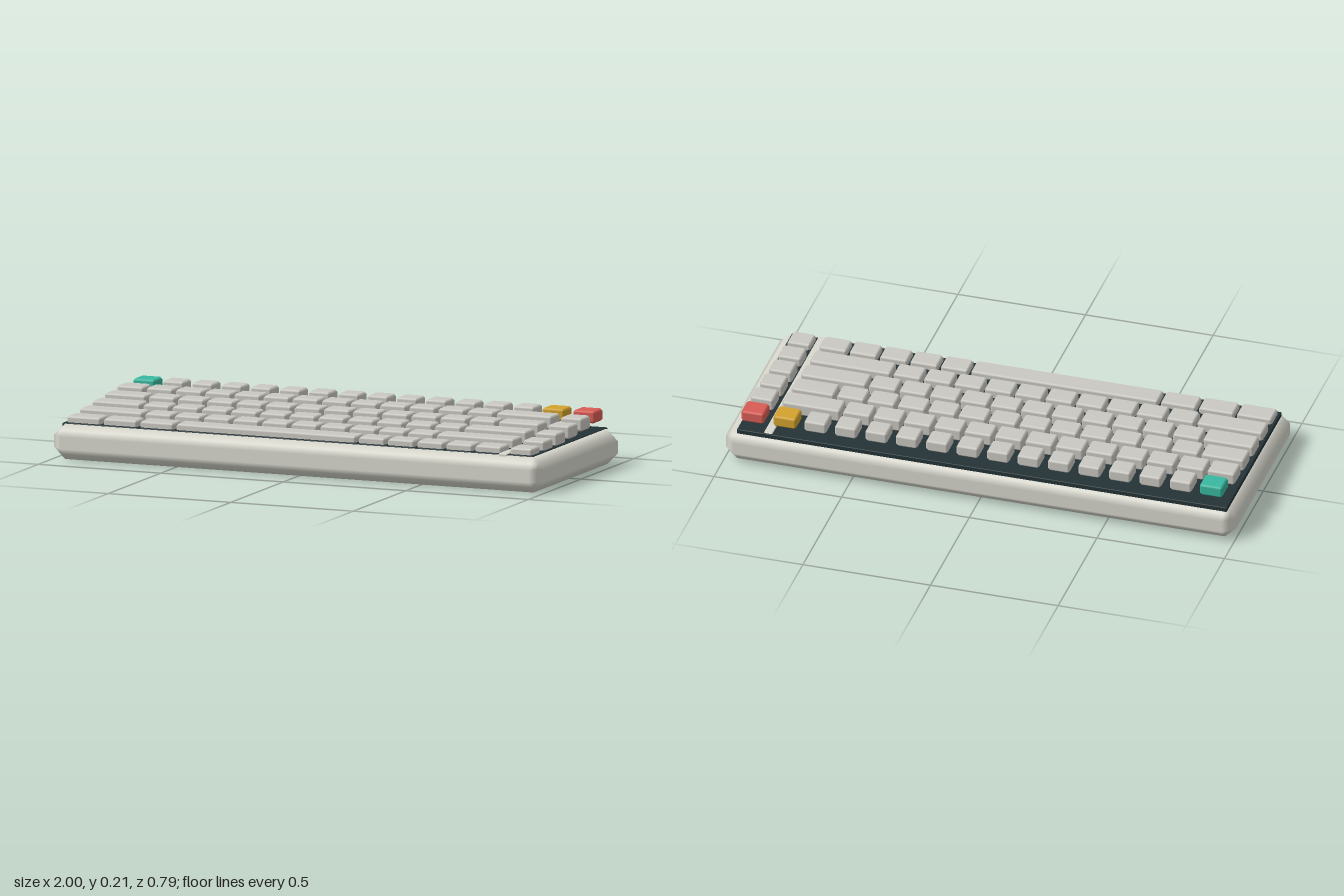
import * as THREE from 'three';

// Box with one straight chamfer of size b and smooth-shaded edges
function chamferBox(w, h, d, b) {
  const g = new THREE.BoxGeometry(1, 1, 1, 3, 3, 3);
  const pos = g.attributes.position, nor = g.attributes.normal;
  const half = [w / 2, h / 2, d / 2];
  const n = new THREE.Vector3();
  for (let i = 0; i < pos.count; i++) {
    const p = [pos.getX(i), pos.getY(i), pos.getZ(i)];
    const outer = p.map((v) => Math.abs(v) > 0.4);
    const k = outer.filter(Boolean).length;
    const q = p.map((v, a) => Math.sign(v) * (half[a] - (outer[a] ? (b * (k - 1)) / k : b)));
    n.set(...p.map((v, a) => (outer[a] ? Math.sign(v) : 0))).normalize();
    pos.setXYZ(i, ...q);
    nor.setXYZ(i, n.x, n.y, n.z);
  }
  return g;
}

function material(name, color) {
  const m = new THREE.MeshStandardMaterial({ color });
  m.name = name;
  return m;
}

export function createModel() {
  const model = new THREE.Group();
  model.name = 'keyboard';
  const caseGrey = material('case grey', 0xd8d8ce);
  const keyGrey = material('key grey', 0xcac8c1);
  const dark = material('dark plate', 0x243336);
  const teal = material('teal', 0x38b8a0);
  const yellow = material('yellow', 0xd2a22c);
  const red = material('red', 0xd85c54);

  function add(name, size, bevel, at, mat, parent = model) {
    const mesh = new THREE.Mesh(chamferBox(...size, bevel), mat);
    mesh.name = name;
    mesh.position.set(...at);
    parent.add(mesh);
  }

  // Body, switch plate and the divider beside the right column
  add('case', [2, 0.134, 0.785], 0.044, [0, 0.067, 0], caseGrey);
  add('plate', [1.92, 0.02, 0.712], 0.003, [-0.008, 0.127, -0.009], dark);
  add('divider', [0.036, 0.02, 0.714], 0.005, [0.831, 0.131, -0.004], caseGrey);

  // Key widths per row, in key units, from the second row to the front
  const ones = (n) => Array(n).fill(1);
  const rows = [
    [...ones(13), 2],
    [1.5, ...ones(12), 1.5],
    [1.75, ...ones(11), 2.25],
    [2.25, ...ones(10), 2.75],
    [1.25, 1.25, 1.25, 6.25, ...ones(5)],
  ];
  const unit = 0.119, gap = 0.011, left = -0.963, bevel = 0.009, depth = 0.085;
  const rowZ = (r) => -0.308 + r * 0.1194;
  const rowY = (r) => 0.188 - r * 0.0104;

  // Back row: separate, narrower keys
  const backRow = new THREE.Group();
  backRow.name = 'backRow';
  model.add(backRow);
  for (let i = 0; i < 15; i++) {
    const mat = i === 0 ? teal : i === 14 ? yellow : keyGrey;
    const w = mat === keyGrey ? 0.086 : 0.09;
    add('backKey', [w, 0.047, depth], bevel, [-0.9 + i * 0.1193, rowY(0), rowZ(0)], mat, backRow);
  }

  // Main rows
  rows.forEach((widths, i) => {
    const row = new THREE.Group();
    row.name = 'keyRow' + (i + 1);
    model.add(row);
    let x = left;
    for (const u of widths) {
      const w = u * unit;
      add('key', [w - gap, 0.051, depth], bevel, [x + w / 2, rowY(i + 1), rowZ(i + 1)], keyGrey, row);
      x += w;
    }
  });

  // Right column
  const column = new THREE.Group();
  column.name = 'rightColumn';
  model.add(column);
  for (let r = 0; r < 6; r++) {
    const h = r === 0 ? 0.047 : 0.051;
    add('sideKey', [0.09, h, depth], bevel, [0.896, rowY(r), rowZ(r)], r === 0 ? red : keyGrey, column);
  }
  return model;
}
